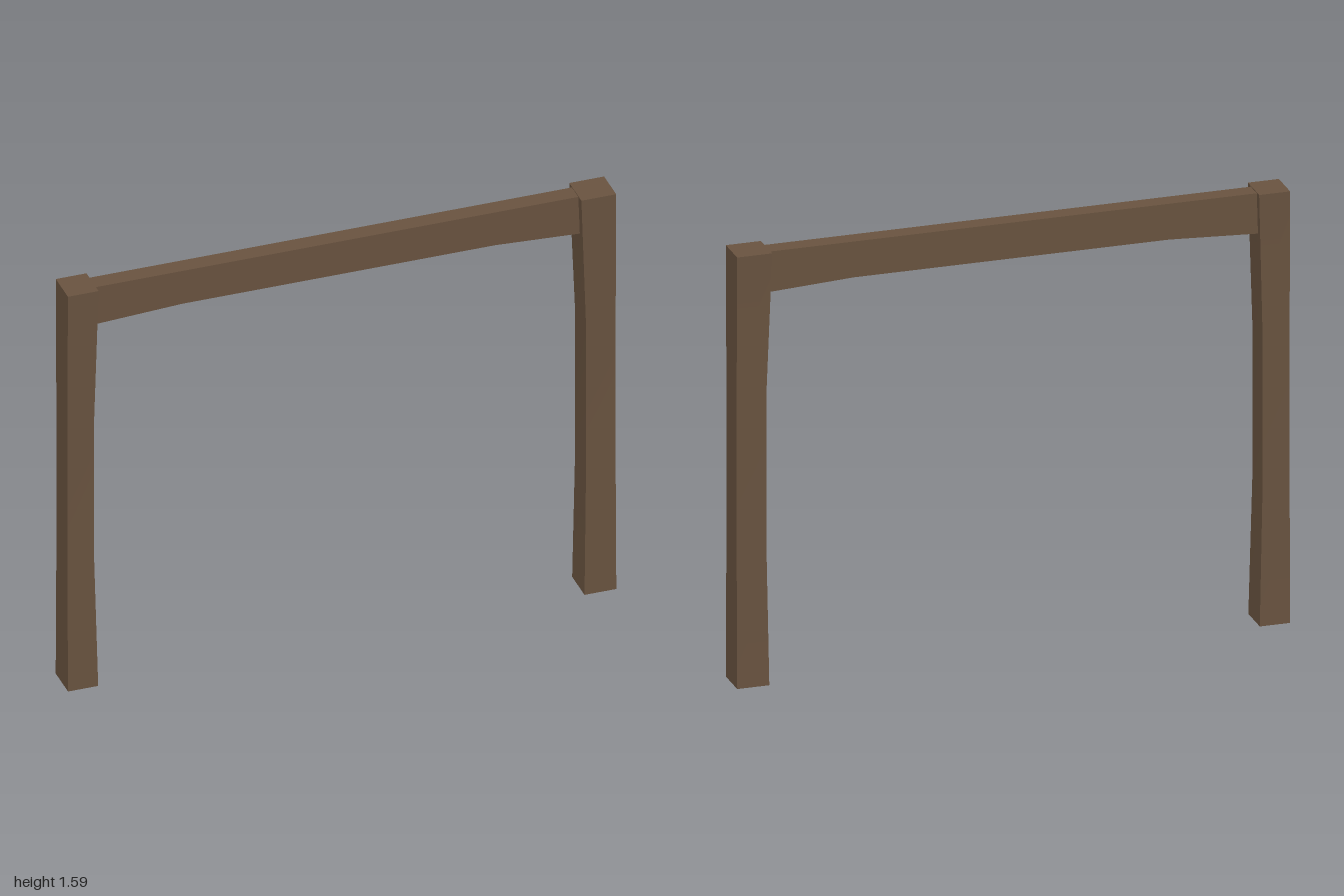
import * as THREE from 'three';

const HEIGHT = 1.59;

// Box whose vertices are moved by a rule; the box edges stay sharp.
function shapedBox(segX, segY, rule) {
  const geo = new THREE.BoxGeometry(2, 2, 2, segX, segY, 1);
  const pos = geo.attributes.position;
  const v = new THREE.Vector3();
  for (let i = 0; i < pos.count; i++) {
    v.fromBufferAttribute(pos, i);
    pos.setXYZ(i, ...rule(v.x, v.y, v.z));
  }
  geo.computeVertexNormals();
  return geo;
}

// Post: straight outer face, waisted inner, front and back faces.
function postGeometry(side, inner) {
  const levels = [0, 0.5, 1.08, HEIGHT];
  const halfDepth = [0.063, 0.056, 0.056, 0.062];
  return shapedBox(1, 3, (x, y, z) => {
    const k = Math.round((y + 1) * 1.5);
    return [x * side > 0 ? side : side * inner[k], levels[k], z * halfDepth[k]];
  });
}

// Lintel: flat top, underside rising towards the middle.
function lintelGeometry() {
  const xs = [-0.91, -0.57, 0.57, 0.9];
  const bottom = [1.437, 1.455, 1.455, 1.437];
  return shapedBox(3, 1, (x, y, z) => {
    const k = Math.round((x + 1) * 1.5);
    return [xs[k], y > 0 ? HEIGHT - 0.003 : bottom[k], z * 0.033 - 0.003];
  });
}

export function createModel() {
  const group = new THREE.Group();
  group.name = 'doorFrame';
  const wood = new THREE.MeshStandardMaterial({ color: 0x6b5541 });
  wood.name = 'brownWood';

  const add = (name, geometry) => {
    const mesh = new THREE.Mesh(geometry, wood);
    mesh.name = name;
    group.add(mesh);
  };
  add('leftPost', postGeometry(1, [0.884, 0.892, 0.892, 0.873]));
  add('rightPost', postGeometry(-1, [0.89, 0.902, 0.902, 0.888]));
  add('lintel', lintelGeometry());
  return group;
}
